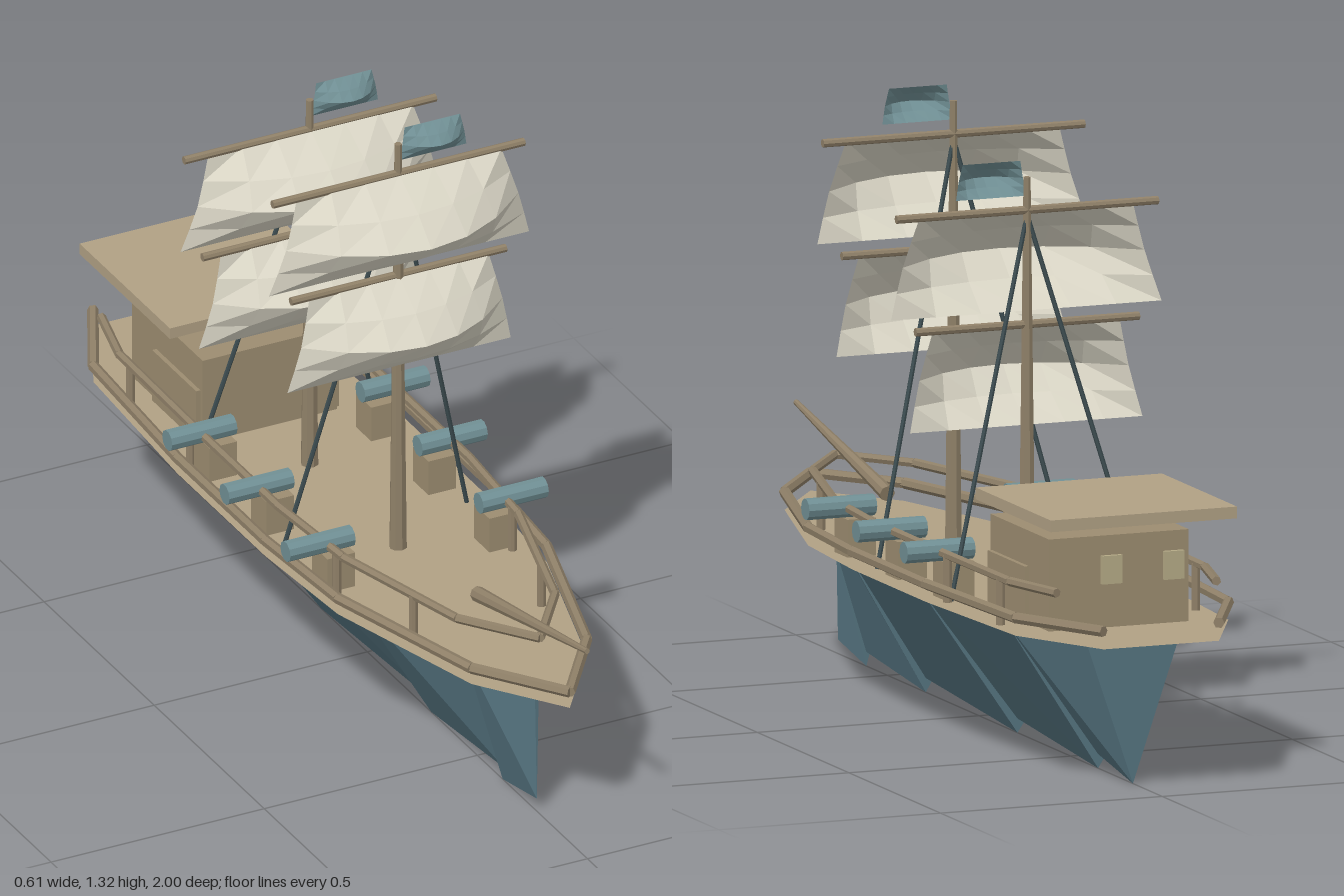
import * as THREE from 'three';

const mat = (color, side = THREE.FrontSide) => new THREE.MeshStandardMaterial({ color, flatShading: true, side });
const M = {
  hull: mat(0x557480, THREE.DoubleSide),
  deck: mat(0xb0a084, THREE.DoubleSide),
  wood: mat(0x8f8068),
  house: mat(0x9c8c70),
  roof: mat(0xb0a084),
  sail: mat(0xd9d5c5, THREE.DoubleSide),
  teal: mat(0x708f94),
  flag: mat(0x708f94, THREE.DoubleSide),
  rope: mat(0x3c4c50),
  pane: mat(0xb5aa86),
};
const DECK_Y = 0.32;

export function createModel() {
  const ship = new THREE.Group();
  ship.name = 'sailingShip';

  const add = (name, geo, material) => {
    const mesh = new THREE.Mesh(geo, material);
    mesh.name = name;
    ship.add(mesh);
    return mesh;
  };
  const box = (name, material, w, h, d, x, y, z) =>
    add(name, new THREE.BoxGeometry(w, h, d), material).position.set(x, y, z);
  // Round bar between two points, tapering from r0 to r1
  const bar = (name, material, from, to, r0, r1 = r0, sides = 8) => {
    const a = new THREE.Vector3(...from), b = new THREE.Vector3(...to);
    const dir = b.clone().sub(a);
    const mesh = add(name, new THREE.CylinderGeometry(r1, r0, dir.length(), sides), material);
    mesh.position.copy(a).add(b).multiplyScalar(0.5);
    mesh.quaternion.setFromUnitVectors(new THREE.Vector3(0, 1, 0), dir.normalize());
  };
  const grid = (rows, cols, point) => {
    const pos = [], idx = [];
    for (let j = 0; j <= rows; j++) for (let i = 0; i <= cols; i++) pos.push(...point(i / cols, j / rows));
    for (let j = 0; j < rows; j++) for (let i = 0; i < cols; i++) {
      const a = j * (cols + 1) + i, b = a + cols + 1;
      idx.push(a, b, a + 1, a + 1, b, b + 1);
    }
    const geo = new THREE.BufferGeometry();
    geo.setAttribute('position', new THREE.Float32BufferAttribute(pos, 3));
    geo.setIndex(idx);
    geo.computeVertexNormals();
    return geo;
  };

  // Hull: V-shaped sections, each keel running down towards the stern
  const stations = [[0.77, 0.005], [0.615, 0.09], [0.29, 0.185], [-0.21, 0.22], [-0.65, 0.205], [-0.84, 0.11]];
  for (let s = 0; s < stations.length - 1; s++) {
    const [z0, w0] = stations[s], [z1, w1] = stations[s + 1];
    const v = [
      [-w0, DECK_Y, z0], [0, 0.03, z0], [w0, DECK_Y, z0],
      [-w1, DECK_Y, z1], [0, 0, z1], [w1, DECK_Y, z1],
    ];
    const geo = new THREE.BufferGeometry();
    geo.setAttribute('position', new THREE.Float32BufferAttribute(v.flat(), 3));
    geo.setIndex([0, 3, 1, 1, 3, 4, 1, 4, 2, 2, 4, 5, 0, 1, 2, 3, 5, 4]);
    geo.computeVertexNormals();
    add('hullSection', geo, M.hull);
  }

  // Deck sheet and lower rail share an outline
  const outline = [[0, 0.92], [0.135, 0.735], [0.245, 0.34], [0.265, 0.05], [0.265, -0.35], [0.24, -0.78], [0.13, -0.995]];
  const shape = new THREE.Shape([
    ...outline.map(([x, z]) => new THREE.Vector2(x, -z)),
    ...outline.slice(1).reverse().map(([x, z]) => new THREE.Vector2(-x, -z)),
  ]);
  add('deck', new THREE.ShapeGeometry(shape).rotateX(-Math.PI / 2), M.deck).position.y = DECK_Y;

  // Rails, posts and guns on both sides
  const upper = [[0, 0.785], [0.115, 0.63], [0.205, 0.29], [0.225, 0.03], [0.225, -0.3], [0.22, -0.7], [0.18, -0.86]];
  for (const s of [1, -1]) {
    for (const [name, path, y, r] of [['lowerRail', outline, 0.358, 0.012], ['upperRail', upper, 0.42, 0.01]]) {
      for (let i = 0; i < path.length - 1; i++) {
        const [a, b] = [path[i], path[i + 1]];
        bar(name, M.wood, [s * a[0], y, a[1]], [s * b[0], y, b[1]], r, r, 6);
      }
    }
    for (const [x, z] of [[0.15, 0.5], [0.206, 0.26], [0.224, -0.37], [0.22, -0.65]])
      bar('railPost', M.wood, [s * x, DECK_Y, z], [s * x, 0.42, z], 0.01);
    for (const z of [0.215, -0.062, -0.322]) {
      bar('cannon', M.teal, [s * 0.15, 0.422, z], [s * 0.303, 0.422, z], 0.023, 0.023, 10);
      box('cannonMount', M.house, 0.065, 0.08, 0.07, s * 0.19, 0.36, z);
    }
  }

  // Billowing cloth: widest at the foot, deepest in the middle
  const cloth = (name, material, x, z, top, foot, wTop, wFoot, depth) =>
    add(name, grid(4, 6, (u, v) => {
      const k = u * 2 - 1;
      const belly = (0.5 * Math.sin(Math.PI * v) + 0.5 * (1 - Math.abs(2 * v - 1))) * (1 - 0.9 * k * k);
      return [x + k * (wTop + (wFoot - wTop) * v), top + (foot - top) * v, z + depth * belly];
    }), material);

  // Two masts with yards, sails, flag and stays
  for (const [z, drop] of [[0.14, 0], [-0.262, 0.093]]) {
    bar('mast', M.wood, [0, DECK_Y, z], [0, 1.28 - drop, z], 0.019, 0.008);
    for (const [y, half, wTop, wFoot, depth] of [[1.21, 0.295, 0.24, 0.305, 0.148], [0.968, 0.252, 0.21, 0.262, 0.127]]) {
      bar('yard', M.wood, [-half, y - drop, z], [half, y - drop, z], 0.009);
      cloth('sail', M.sail, 0, z + 0.004, y - drop, y - drop - 0.214, wTop, wFoot, depth);
    }
    cloth('flag', M.flag, 0.08, z, 1.315 - drop, 1.24 - drop, 0.065, 0.08, 0.045);
    for (const s of [1, -1])
      bar('stay', M.rope, [0, 1.2 - drop, z], [s * 0.215, DECK_Y, z - 0.105], 0.005, 0.005, 6);
  }

  // Bowsprit
  bar('bowsprit', M.wood, [0, 0.385, 0.5], [0, 0.494, 0.999], 0.017, 0.006);

  // Stern cabin with overhanging roof and windows
  box('cabin', M.house, 0.315, 0.195, 0.32, 0, 0.4175, -0.603);
  box('cabinBase', M.house, 0.335, 0.12, 0.2, 0, 0.38, -0.553);
  box('cabinRoof', M.roof, 0.42, 0.025, 0.41, 0, 0.57, -0.695);
  for (const x of [-0.07, 0.07]) box('sternWindow', M.pane, 0.045, 0.06, 0.01, x, 0.468, -0.893);

  return ship;
}
